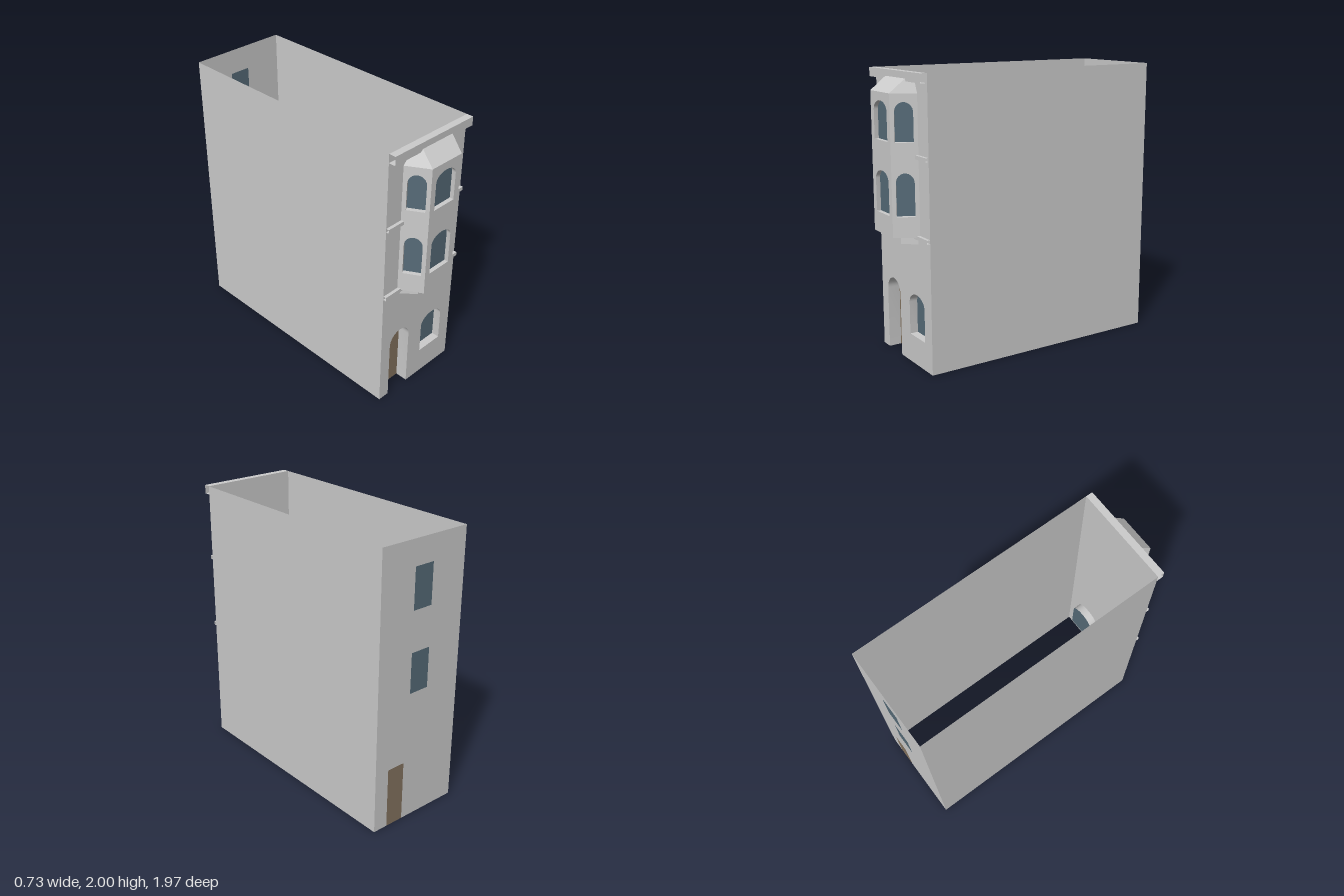
import * as THREE from 'three';
import { toCreasedNormals } from 'three/addons/utils/BufferGeometryUtils.js';

const mat = (color) => new THREE.MeshStandardMaterial({ color, side: THREE.DoubleSide });
const wallMat = mat(0xcccccc), glassMat = mat(0x566b78), doorMat = mat(0x857460);

const W = 0.3625, H = 2, FRONT = 0.835, BACK = -0.985;
const BAY_Z = 0.987, BAY_IN = 0.1375, BAY_OUT = 0.228, BAY_Y0 = 0.92, BAY_Y1 = 1.865;

function add(parent, name, geometry, material = wallMat) {
  const mesh = new THREE.Mesh(geometry, material);
  mesh.name = name;
  parent.add(mesh);
  return mesh;
}

// Open surface joining two polylines of equal length
function strip(a, b) {
  const pos = [];
  for (let i = 0; i < a.length - 1; i++) {
    pos.push(...a[i], ...b[i], ...b[i + 1], ...a[i], ...b[i + 1], ...a[i + 1]);
  }
  const g = new THREE.BufferGeometry();
  g.setAttribute('position', new THREE.Float32BufferAttribute(pos, 3));
  return toCreasedNormals(g, 0.6);
}

// Outline of an opening, from its lower right up over the arch to its lower left
function outline({ x0, x1, y0, spring, top }) {
  if (spring === undefined) return [[x1, y0], [x1, top], [x0, top], [x0, y0]];
  const pts = [[x1, y0]], cx = (x0 + x1) / 2, r = (x1 - x0) / 2;
  for (let i = 0; i <= 16; i++) {
    const t = (i / 16) * Math.PI;
    pts.push([cx + r * Math.cos(t), spring + (top - spring) * Math.sin(t)]);
  }
  pts.push([x0, y0]);
  return pts;
}

const toShape = (pts) => new THREE.Shape(pts.map((p) => new THREE.Vector2(p[0], p[1])));

// Flat wall in the local xy plane with openings, each with a jamb and a set-back panel
function wall(parent, name, x0, x1, y0, y1, openings) {
  const group = new THREE.Group();
  group.name = name;
  parent.add(group);
  const border = [[x0, y0]];
  const holes = [];
  for (const o of openings) {
    const pts = outline(o);
    // An opening that reaches the ground becomes a notch in the border
    if (o.y0 <= y0) border.push(...pts.slice().reverse());
    else holes.push(new THREE.Path(pts.map((p) => new THREE.Vector2(...p))));
    const depth = o.depth || 0;
    const label = o.door ? 'door' : 'window';
    const panel = add(group, label + 'Panel', new THREE.ShapeGeometry(toShape(pts)), o.door ? doorMat : glassMat);
    panel.position.z = -depth;
    if (depth) {
      const rim = o.door ? pts : [...pts, pts[0]];
      add(group, label + 'Jamb', strip(rim.map((p) => [...p, 0]), rim.map((p) => [...p, -depth])));
    }
  }
  border.push([x1, y0], [x1, y1], [x0, y1]);
  const shape = toShape(border);
  shape.holes = holes;
  add(group, name + 'Surface', new THREE.ShapeGeometry(shape));
  return group;
}

// Horizontal moulding with open ends, running along the front
function moulding(parent, name, x0, x1, y0, y1, depth) {
  const profile = [[y1, FRONT], [y1, FRONT + depth], [y0, FRONT + depth], [y0, FRONT]];
  add(parent, name, strip(profile.map(([y, z]) => [x0, y, z]), profile.map(([y, z]) => [x1, y, z])));
}

export function createModel() {
  const model = new THREE.Group();
  model.name = 'townhouse';

  // Outer walls, open at top and bottom
  wall(model, 'frontWall', -W, W, 0, H, [
    { x0: -0.275, x1: -0.082, y0: 0, spring: 0.443, top: 0.54, depth: 0.09, door: true },
    { x0: 0.053, x1: 0.265, y0: 0.2, spring: 0.43, top: 0.505, depth: 0.058 },
  ]).position.z = FRONT;

  const back = wall(model, 'backWall', -W, W, 0, H, [
    { x0: -0.25, x1: -0.11, y0: 0, top: 0.44, door: true },
    { x0: -0.078, x1: 0.078, y0: 1.53, top: 1.82 },
    { x0: -0.078, x1: 0.078, y0: 0.95, top: 1.24 },
  ]);
  back.rotation.y = Math.PI;
  back.position.z = BACK;

  for (const s of [-1, 1]) {
    const side = add(model, s > 0 ? 'leftWall' : 'rightWall', new THREE.PlaneGeometry(FRONT - BACK, H));
    side.rotation.y = (s * Math.PI) / 2;
    side.position.set(s * W, H / 2, (FRONT + BACK) / 2);
  }

  // Cornice and string courses
  moulding(model, 'cornice', -W, W, 1.938, H, 0.05);
  for (const s of [-1, 1]) {
    for (const [y, inner] of [[1.443, 0.222], [0.907, 0.18]]) {
      const xs = [s * inner, s * W].sort((a, b) => a - b);
      moulding(model, 'stringCourse', xs[0], xs[1], y, y + 0.026, 0.022);
    }
  }

  // Bay: a front face and two canted faces, each with two arched windows
  const bay = new THREE.Group();
  bay.name = 'bayWindow';
  model.add(bay);
  const floors = (half) => [[1.06, 1.285, 1.35], [1.55, 1.745, 1.81]].map(([y0, spring, top]) => (
    { x0: -half, x1: half, y0, spring, top, depth: 0.03 }));
  wall(bay, 'bayFront', -BAY_IN, BAY_IN, BAY_Y0, BAY_Y1, floors(0.094)).position.z = BAY_Z;
  const dx = BAY_OUT - BAY_IN, dz = BAY_Z - FRONT, half = Math.hypot(dx, dz) / 2;
  for (const s of [-1, 1]) {
    const cant = wall(bay, s > 0 ? 'bayLeft' : 'bayRight', -half, half, BAY_Y0, BAY_Y1, floors(0.061));
    cant.rotation.y = s * Math.atan2(dz, dx);
    cant.position.set((s * (BAY_IN + BAY_OUT)) / 2, 0, (BAY_Z + FRONT) / 2);
  }
  add(bay, 'bayUnderside', strip(
    [[-BAY_OUT, BAY_Y0, FRONT], [BAY_OUT, BAY_Y0, FRONT]],
    [[-BAY_IN, BAY_Y0, BAY_Z], [BAY_IN, BAY_Y0, BAY_Z]].map((p) => p)));

  // Hipped bay roof rising back to the wall top
  const ridge = [[-0.106, H, FRONT], [0.175, H, FRONT]];
  add(bay, 'bayRoof', strip(
    [ridge[0], ridge[0], ridge[1], ridge[1]],
    [[-BAY_OUT, BAY_Y1, FRONT], [-BAY_IN, BAY_Y1, BAY_Z], [BAY_IN, BAY_Y1, BAY_Z], [BAY_OUT, BAY_Y1, FRONT]]));

  // Corbel under the bay
  const corbel = toShape([[-0.2, -FRONT], [0.2, -FRONT], [0.118, -0.922], [-0.118, -0.922]]);
  const corbelMesh = add(bay, 'bayCorbel', new THREE.ExtrudeGeometry(corbel, { depth: BAY_Y0 - 0.868, bevelEnabled: false }));
  corbelMesh.rotation.x = -Math.PI / 2;
  corbelMesh.position.y = 0.868;

  return model;
}
